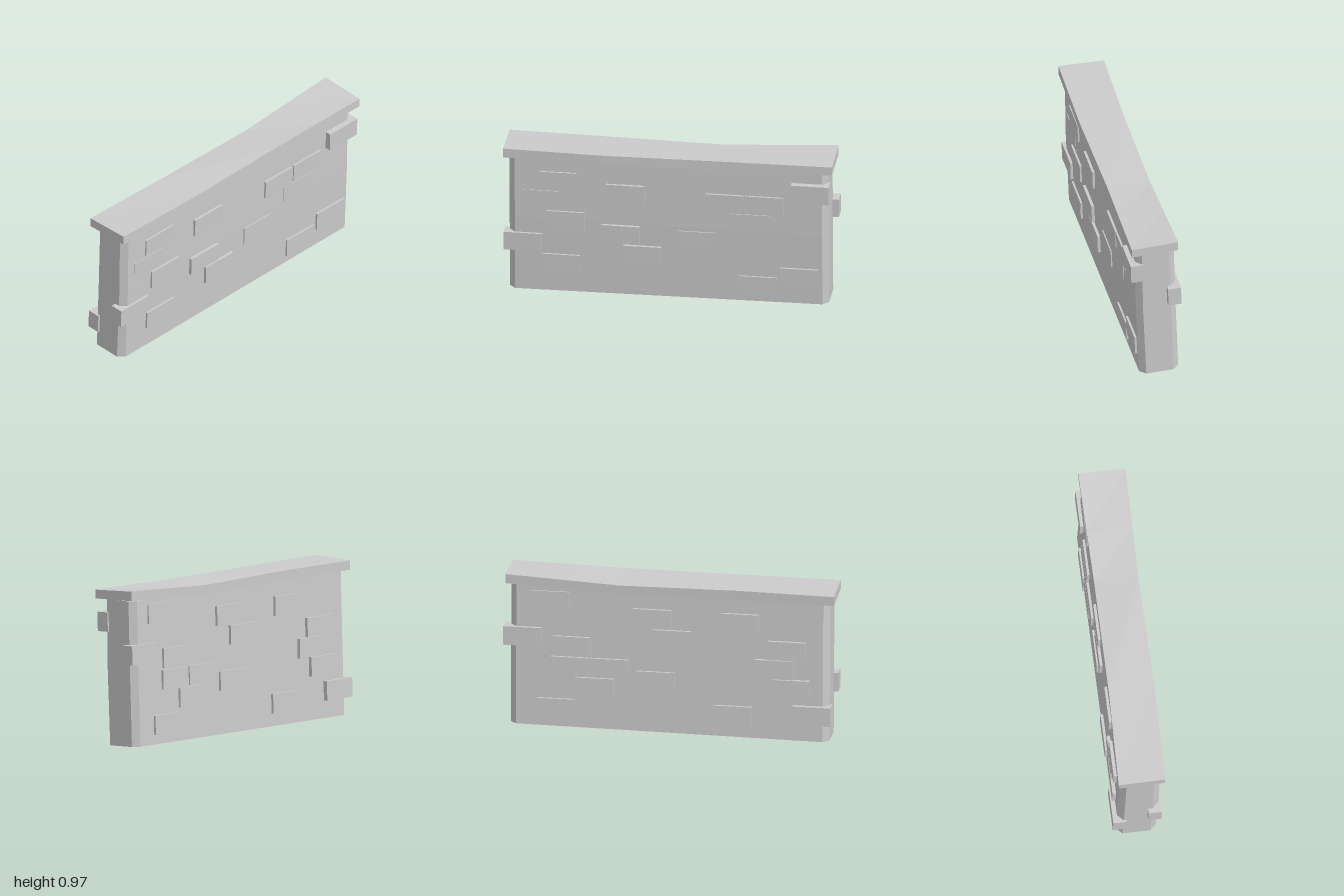
import * as THREE from 'three';

const makeMaterial = () => new THREE.MeshStandardMaterial({
  color: 0xcccccc, flatShading: true, side: THREE.DoubleSide,
});

// Skin a list of equal-length rings with flat quads; optionally close the ends.
function loft(rings, closeStart, closeEnd) {
  const n = rings[0].length, pos = [];
  const tri = (a, b, c) => pos.push(...a, ...b, ...c);
  for (let r = 0; r + 1 < rings.length; r++) {
    for (let i = 0; i < n; i++) {
      const j = (i + 1) % n, lo = rings[r], hi = rings[r + 1];
      tri(lo[i], lo[j], hi[j]);
      tri(lo[i], hi[j], hi[i]);
    }
  }
  const first = rings[0], last = rings[rings.length - 1];
  for (let i = 1; i + 1 < n; i++) {
    if (closeStart) tri(first[0], first[i + 1], first[i]);
    if (closeEnd) tri(last[0], last[i], last[i + 1]);
  }
  const geo = new THREE.BufferGeometry();
  geo.setAttribute('position', new THREE.Float32BufferAttribute(pos, 3));
  geo.computeVertexNormals();
  return geo;
}

// Chamfered plan of the wall at one level: centre shift, half width
function wallRing(y, shift, half, slope) {
  const c = 0.036, zf = 0.97, zb = -0.96;
  const plan = [
    [half, zf - c], [half, zb + c], [half - c, zb], [c - half, zb],
    [-half, zb + c], [-half, zf - c], [c - half, zf], [half - c, zf],
  ];
  return plan.map(([x, z]) => [x + shift, y + slope * (0.011 - 0.0085 * z - 0.035 * x), z]);
}

// Slab cross-section at one station along the wall
const capRing = ([z, xl, xr, topL, topR, botL, botR]) =>
  [[xr, topR, z], [xr, botR, z], [xl, botL, z], [xl, topL, z]];

export function createModel() {
  const model = new THREE.Group();
  const material = makeMaterial();
  const add = (name, geo, parent = model) => {
    const mesh = new THREE.Mesh(geo, material);
    mesh.name = name;
    parent.add(mesh);
    return mesh;
  };

  // Leaning wall body, open underneath
  add('wall', loft([
    wallRing(0, -0.02, 0.12, 1),
    wallRing(0.48, -0.002, 0.122, 0),
    wallRing(0.9, 0.007, 0.119, 0),
  ], false, true));

  // Uneven coping slab: z, left x, right x, top heights, bottom heights
  add('copingSlab', loft([
    [1.0, -0.13, 0.15, 0.935, 0.94, 0.878, 0.882],
    [0.4, -0.115, 0.16, 0.937, 0.938, 0.878, 0.882],
    [-0.3, -0.115, 0.152, 0.93, 0.943, 0.875, 0.884],
    [-0.62, -0.12, 0.156, 0.948, 0.948, 0.89, 0.891],
    [-0.99, -0.125, 0.16, 0.968, 0.953, 0.91, 0.9],
  ].map(capRing), true, true));

  // Raised bricks: [centre z, centre y, outer face x]
  const brickGeo = new THREE.BoxGeometry(0.08, 0.117, 0.23);
  const rightBricks = [
    [0.675, 0.738, 0.134], [0.765, 0.61, 0.126], [0.625, 0.48, 0.132],
    [0.885, 0.323, 0.13], [0.655, 0.19, 0.121], [0.265, 0.68, 0.138],
    [0.295, 0.41, 0.136], [0.165, 0.28, 0.13], [-0.165, 0.397, 0.125],
    [-0.335, 0.657, 0.136], [-0.575, 0.657, 0.134], [-0.495, 0.532, 0.126],
    [-0.855, 0.76, 0.161], [-0.535, 0.12, 0.117], [-0.785, 0.19, 0.122],
  ];
  const leftBricks = [
    [-0.715, 0.812, -0.125], [-0.1, 0.732, -0.134], [0.02, 0.605, -0.138],
    [0.43, 0.732, -0.134], [0.715, 0.572, -0.142], [0.64, 0.452, -0.146],
    [0.74, 0.332, -0.152], [0.868, 0.173, -0.163], [-0.59, 0.532, -0.138],
    [-0.36, 0.403, -0.142], [-0.6, 0.403, -0.142], [-0.45, 0.278, -0.146],
    [-0.08, 0.338, -0.144], [0.39, 0.148, -0.152], [-0.68, 0.137, -0.15],
    [-0.885, 0.58, -0.143],
  ];
  for (const [name, list, side] of [['rightBricks', rightBricks, 1], ['leftBricks', leftBricks, -1]]) {
    const group = new THREE.Group();
    group.name = name;
    model.add(group);
    for (const [z, y, x] of list) {
      const brick = add('brick', brickGeo, group);
      brick.position.set(x - side * 0.041, y, z);
      brick.rotation.z = -0.03;
    }
  }
  return model;
}
